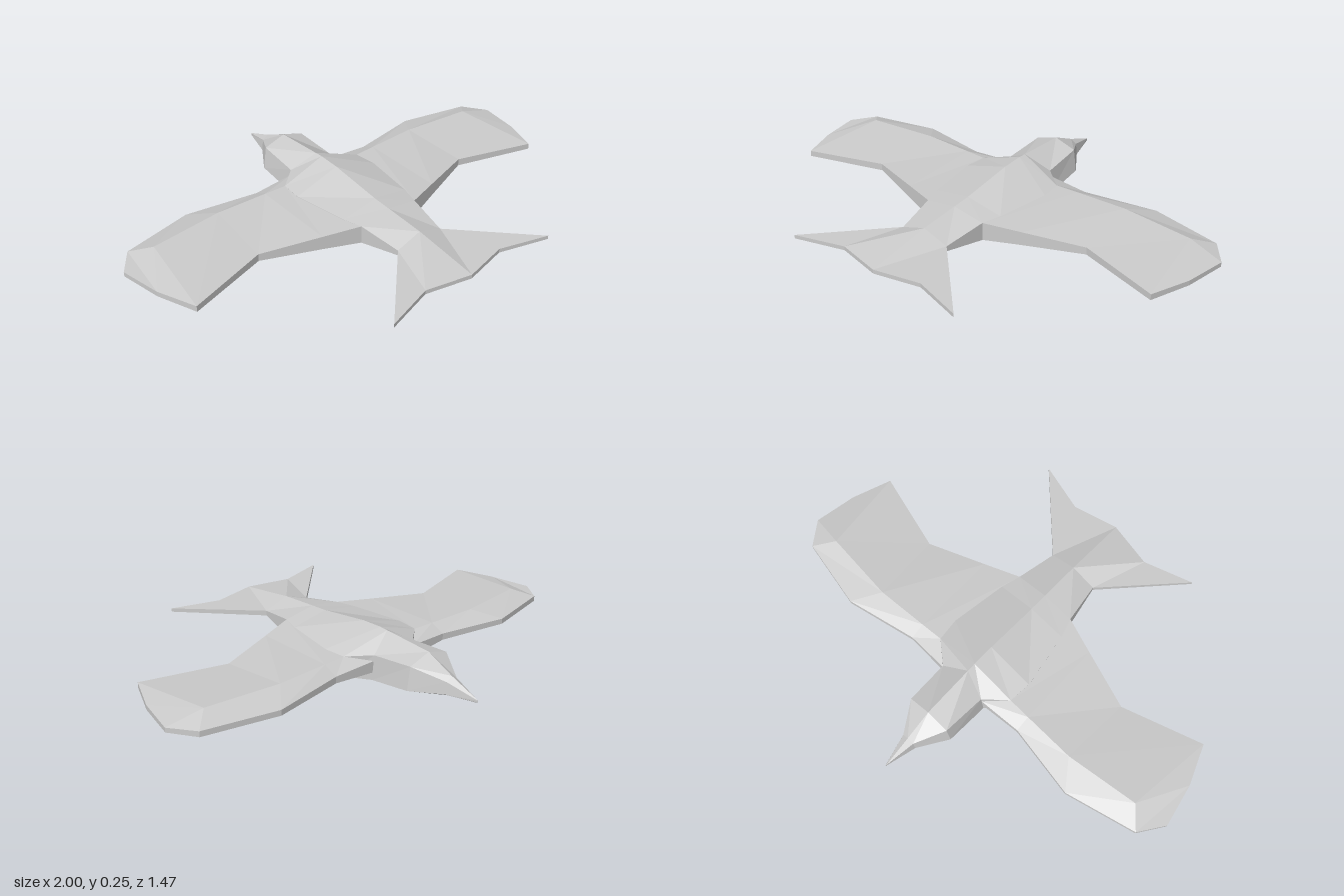
import * as THREE from 'three';

const material = new THREE.MeshStandardMaterial({ color: 0xcccccc, flatShading: true, side: THREE.DoubleSide });

// Closed slab from rows of stations [x, z, topY, bottomY, bottomX = x]; side is 1 or -1.
function slab(rows, side) {
  const pos = [];
  const top = (p) => new THREE.Vector3(p[0] * side, p[2], p[1]);
  const low = (p) => new THREE.Vector3((p[4] ?? p[0]) * side, p[3], p[1]);
  const tri = (a, b, c) => {
    const area = b.clone().sub(a).cross(c.clone().sub(a)).length();
    if (area > 1e-7) for (const v of [a, b, c]) pos.push(v.x, v.y, v.z);
  };
  const n = rows.length - 1, m = rows[0].length - 1;

  // Pick the winding that makes the top face up
  let sum = 0;
  for (let i = 0; i < n; i++) for (let j = 0; j < m; j++) {
    const a = top(rows[i][j]), b = top(rows[i + 1][j + 1]);
    const c = top(rows[i + 1][j]), d = top(rows[i][j + 1]);
    sum += b.sub(a).cross(d.sub(c)).y;
  }
  const flip = sum < 0;

  for (let i = 0; i < n; i++) for (let j = 0; j < m; j++) {
    const q = [rows[i][j], rows[i + 1][j], rows[i + 1][j + 1], rows[i][j + 1]];
    const rim = [j === 0, i === n - 1, j === m - 1, i === 0];
    if (flip) { q.reverse(); rim.reverse(); rim.push(rim.shift()); }
    const t = q.map(top), l = q.map(low);
    tri(t[0], t[1], t[2]); tri(t[0], t[2], t[3]);
    tri(l[2], l[1], l[0]); tri(l[3], l[2], l[0]);
    // Walls around the rim, left open along the centre line
    for (let k = 0; k < 4; k++) {
      const e = (k + 1) % 4;
      if (!rim[k] || (q[k][0] === 0 && q[e][0] === 0)) continue;
      tri(t[e], t[k], l[k]); tri(t[e], l[k], l[e]);
    }
  }
  const g = new THREE.BufferGeometry();
  g.setAttribute('position', new THREE.Float32BufferAttribute(pos, 3));
  g.computeVertexNormals();
  return g;
}

// Body section: spine and keel at the centre, a side wall at the edge
const section = (z, spine, keel, w, up, down, wLow = w, spineZ = z) =>
  [[0, spineZ, spine, keel], [w, z, up, down, wLow]];

export function createModel() {
  const bird = new THREE.Group();
  bird.name = 'bird';

  const beakTip = section(-0.735, 0.125, 0.113, 0.001, 0.123, 0.115);
  const beakBase = section(-0.6, 0.175, 0.09, 0.028, 0.158, 0.107, 0.035);
  const crown = section(-0.475, 0.232, 0.066, 0.1, 0.2, 0.1, 0.115);
  const neck = section(-0.28, 0.243, 0.033, 0.108, 0.18, 0.073, 0.118, -0.24);
  const rump = section(0.42, 0.185, 0.055, 0.115, 0.146, 0.123);

  const parts = {
    Beak: [beakTip, beakBase],
    Head: [beakBase, crown, neck],
    Body: [
      neck,
      section(-0.2, 0.245, 0.018, 0.2, 0.175, 0.085),
      section(-0.1, 0.24, 0, 0.21, 0.175, 0.09),
      section(0.15, 0.205, 0.038, 0.17, 0.175, 0.095),
      section(0.235, 0.199, 0.044, 0.145, 0.175, 0.095),
      rump,
    ],
    // Forked tail, from the centre out to the tip
    Tail: [
      [[0, 0.42, 0.185, 0.055], [0, 0.71, 0.143, 0.125]],
      [[0.115, 0.42, 0.146, 0.123], [0.2, 0.665, 0.143, 0.125]],
      [[0.415, 0.73, 0.143, 0.127], [0.415, 0.73, 0.143, 0.127]],
    ],
    // Each wing row runs leading edge, ridge, trailing edge
    Wing: [
      [[0.11, -0.28, 0.155, 0.105], [0.2, -0.2, 0.175, 0.088], [0.145, 0.235, 0.175, 0.095]],
      [[0.3, -0.27, 0.146, 0.117], [0.3, -0.205, 0.175, 0.1], [0.3, 0.18, 0.165, 0.105]],
      [[0.615, -0.33, 0.142, 0.118], [0.53, -0.215, 0.175, 0.1], [0.55, 0.093, 0.15, 0.118]],
      [[0.925, -0.26, 0.142, 0.118], [0.85, -0.18, 0.175, 0.1], [0.9, 0.2, 0.146, 0.12]],
      [[1, -0.155, 0.14, 0.12], [0.965, 0.03, 0.142, 0.12], [0.9, 0.2, 0.146, 0.12]],
    ],
  };

  for (const [name, rows] of Object.entries(parts)) {
    for (const side of [1, -1]) {
      const mesh = new THREE.Mesh(slab(rows, side), material);
      mesh.name = (side > 0 ? 'plusX' : 'minusX') + name;
      bird.add(mesh);
    }
  }
  return bird;
}
